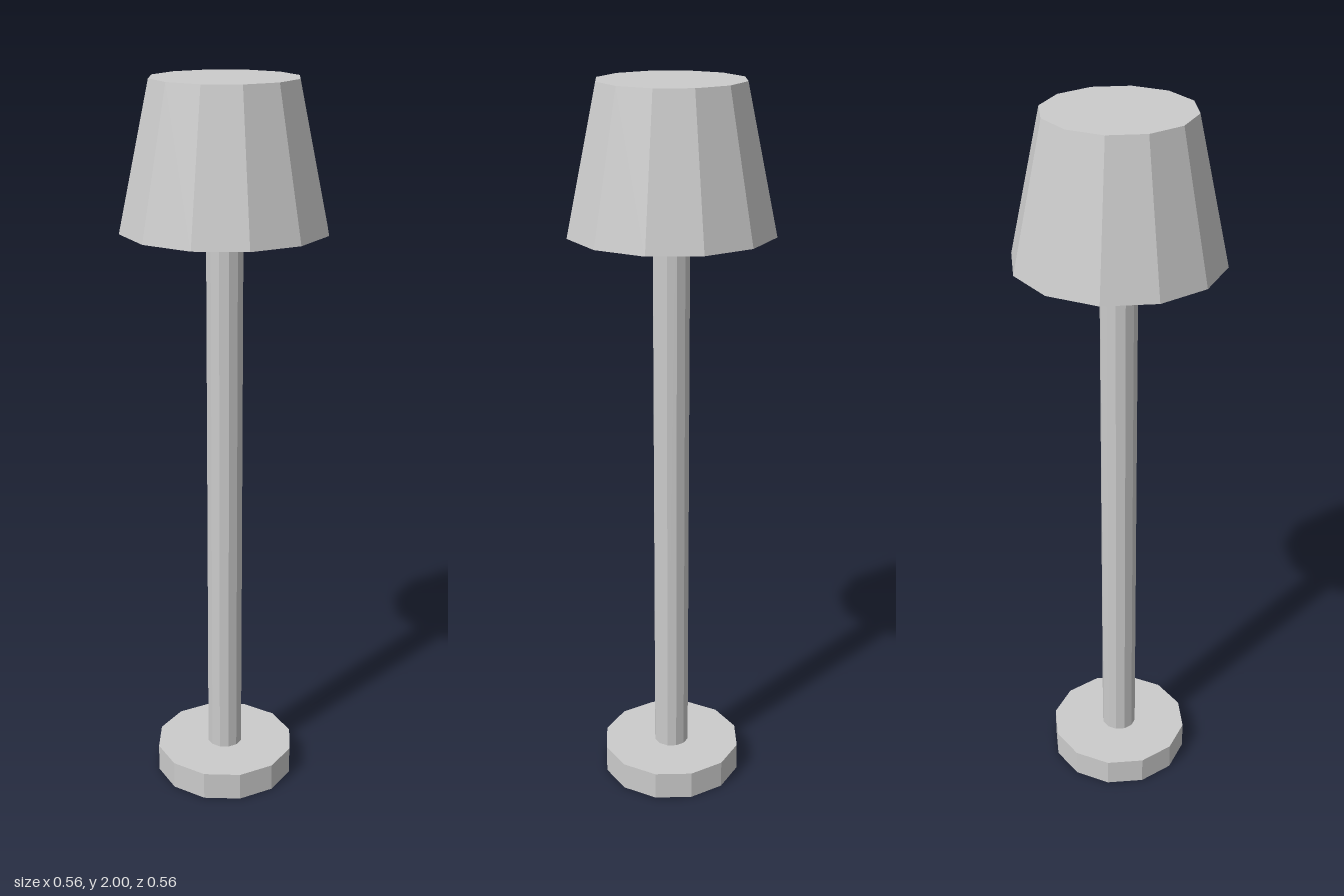
import * as THREE from 'three';

const SIDES = 12;

export function createModel() {
  const lamp = new THREE.Group();
  lamp.name = 'floorLamp';
  const material = new THREE.MeshStandardMaterial({ color: 0xcccccc, flatShading: true });

  const add = (name, geometry, y = 0) => {
    const mesh = new THREE.Mesh(geometry, material);
    mesh.name = name;
    mesh.position.y = y;
    lamp.add(mesh);
  };

  // Round foot plate
  add('base', new THREE.CylinderGeometry(0.2, 0.2, 0.08, SIDES), 0.04);

  // Pole from the foot up to the inside of the shade
  const poleBottom = 0.08, poleTop = 1.97;
  add('pole', new THREE.CylinderGeometry(0.05, 0.05, poleTop - poleBottom, SIDES, 1, true),
    (poleBottom + poleTop) / 2);

  // Hollow tapered shade: inner ceiling, inner wall, rim, outer wall, closed top
  const profile = [
    [0, 1.97], [0.172, 1.97], [0.248, 1.615], [0.278, 1.615], [0.195, 2], [0, 2],
  ].map(([r, y]) => new THREE.Vector2(r, y));
  add('shade', new THREE.LatheGeometry(profile, SIDES));

  return lamp;
}
